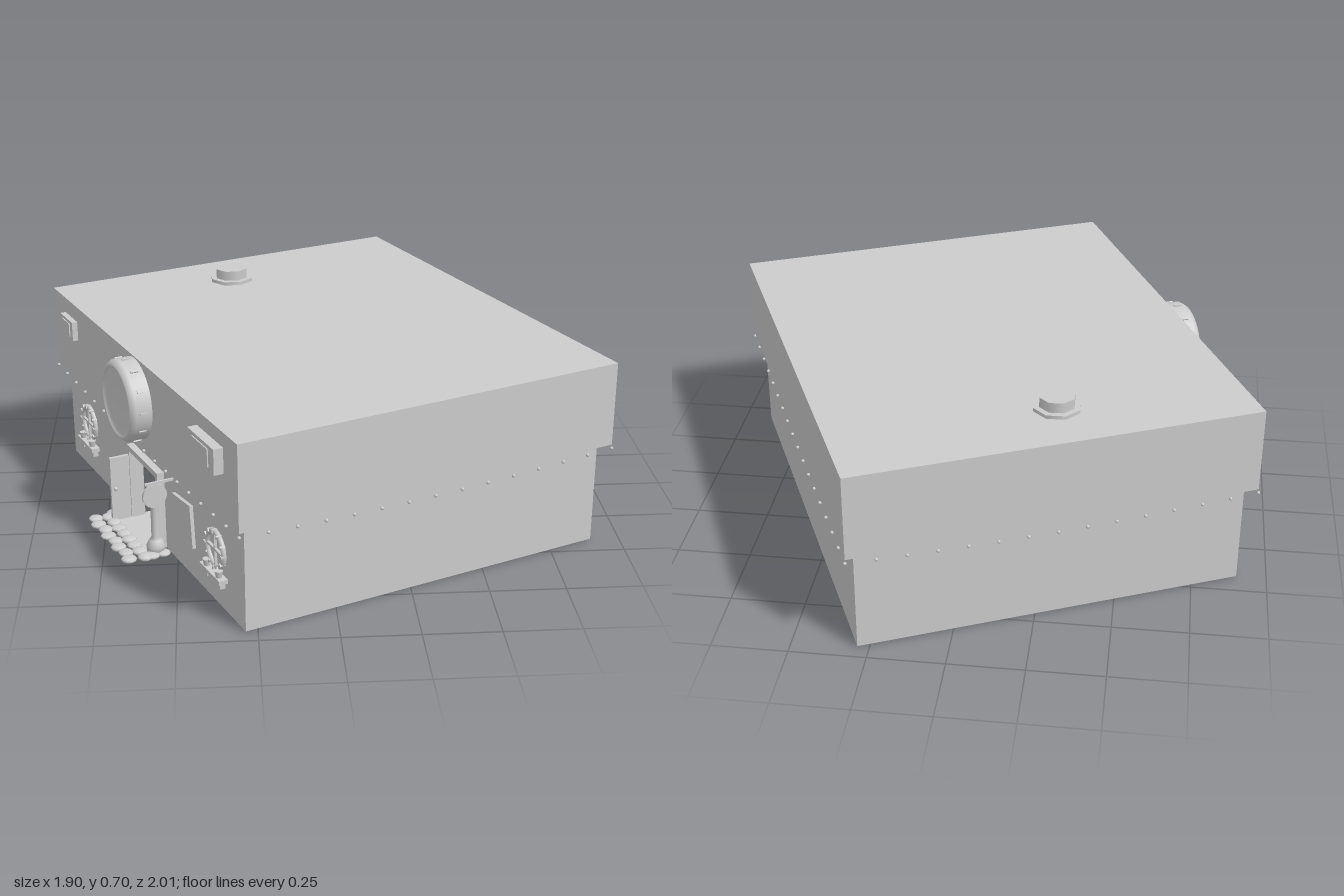
import * as THREE from 'three';

export function createModel() {
  const model = new THREE.Group();
  const shop = new THREE.Group();
  shop.name = 'building';
  shop.rotation.y = -1.152; // shopfront is local +z
  model.add(shop);

  const grey = new THREE.MeshStandardMaterial({ color: 0xcccccc, side: THREE.DoubleSide });
  grey.name = 'plain grey';

  const add = (name, geo, x = 0, y = 0, z = 0, parent = shop) => {
    const m = new THREE.Mesh(geo, grey);
    m.name = name;
    m.position.set(x, y, z);
    parent.add(m);
    return m;
  };
  const box = (name, w, h, d, x, y, z, parent) =>
    add(name, new THREE.BoxGeometry(w, h, d), x, y, z, parent);
  const rect = (C, x0, y0, x1, y1) => {
    const s = new C();
    s.moveTo(x0, y0).lineTo(x1, y0).lineTo(x1, y1).lineTo(x0, y1).closePath();
    return s;
  };

  const UW = 0.789, UD = 0.683, LW = 0.753, LD = 0.65, MID = 0.36, TOP = 0.65;

  // Hollow storeys: thin walls, with a doorway in the lower front
  const walls = (name, w, d, y0, y1, doorway) => {
    const front = doorway
      ? new THREE.Shape([[-w, y0], [-0.12, y0], [-0.12, 0.26], [0.12, 0.26], [0.12, y0], [w, y0], [w, y1], [-w, y1]]
        .map(p => new THREE.Vector2(...p)))
      : rect(THREE.Shape, -w, y0, w, y1);
    add(name + 'FrontWall', new THREE.ShapeGeometry(front), 0, 0, d);
    add(name + 'BackWall', new THREE.PlaneGeometry(2 * w, y1 - y0), 0, (y0 + y1) / 2, -d).rotation.y = Math.PI;
    for (const s of [-1, 1])
      add(name + 'SideWall', new THREE.PlaneGeometry(2 * d, y1 - y0), s * w, (y0 + y1) / 2, 0).rotation.y = s * Math.PI / 2;
  };
  walls('lower', LW, LD, 0, MID, true);
  walls('upper', UW, UD, MID, TOP, false);
  add('roof', new THREE.PlaneGeometry(2 * UW, 2 * UD), 0, TOP, 0).rotation.x = -Math.PI / 2;
  const ledge = rect(THREE.Shape, -UW, -UD, UW, UD);
  ledge.holes.push(rect(THREE.Path, -LW, -LD, LW, LD));
  add('overhangSoffit', new THREE.ShapeGeometry(ledge), 0, MID, 0).rotation.x = Math.PI / 2;

  // Sagging string of small bulbs under the overhang
  const bulb = new THREE.SphereGeometry(0.006, 8, 6);
  const string = (n, at) => {
    for (let i = 0; i <= n; i++) {
      const t = i / n, [x, z] = at(t * 2 - 1);
      add('bulb', bulb, x, 0.347 - 0.018 * Math.sin(t * Math.PI), z);
    }
  };
  for (const s of [-1, 1]) {
    string(17, t => [t * UW, s * UD]);
    string(14, t => [s * UW, t * UD]);
  }

  // Octagonal roof vent
  add('ventFlange', new THREE.CylinderGeometry(0.08, 0.08, 0.012, 8).toNonIndexed(), -0.575, 0.656, 0.062);
  add('ventCap', new THREE.CylinderGeometry(0.06, 0.06, 0.035, 8).toNonIndexed(), -0.575, 0.679, 0.062);

  // Round drum sign above the door, with a raised rim and studs
  const drum = new THREE.Group();
  drum.name = 'drumSign';
  drum.position.set(0, 0.505, UD);
  shop.add(drum);
  const profile = [[0.14, 0], [0.14, 0.055], [0.128, 0.072], [0.116, 0.072], [0.113, 0.062], [0, 0.062]]
    .map(p => new THREE.Vector2(...p));
  const rim = new THREE.LatheGeometry(profile, 40);
  rim.rotateX(Math.PI / 2);
  add('drumBody', rim, 0, 0, 0, drum);
  for (let i = 0; i < 12; i++) {
    const a = i * Math.PI / 6;
    box('drumStud', 0.006, 0.008, 0.026, 0.141 * Math.cos(a), 0.141 * Math.sin(a), 0.03, drum).rotation.z = a;
  }

  // Wall boxes on the upper storey
  const unit = (x, w, h, d) => {
    box('wallBox', w, h, d, x, 0.558, UD + d / 2);
    box('wallBoxPanel', w * 0.6, h * 0.7, 0.006, x, 0.558, UD + d + 0.001);
  };
  unit(-0.61, 0.12, 0.07, 0.02);
  unit(0.595, 0.19, 0.085, 0.032);

  // Porthole windows with glazing bars and planter shelves
  for (const x of [-0.555, 0.555]) {
    const w = new THREE.Group();
    w.name = 'portholeWindow';
    w.position.set(x, 0.195, LD);
    shop.add(w);
    add('windowRing', new THREE.TorusGeometry(0.06, 0.009, 8, 28), 0, 0, 0.006, w);
    add('windowPane', new THREE.CircleGeometry(0.058, 28), 0, 0, 0.003, w);
    for (const a of [0, Math.PI / 2])
      box('glazingBar', 0.116, 0.007, 0.01, 0, 0, 0.007, w).rotation.z = a;
    for (let i = 0; i < 12; i++) {
      const a = i * Math.PI / 6;
      box('ringStud', 0.012, 0.006, 0.026, 0.063 * Math.cos(a), 0.063 * Math.sin(a), 0.006, w).rotation.z = a;
    }
    box('planterShelf', 0.15, 0.014, 0.03, 0, -0.082, 0.016, w);
    for (const s of [-1, 1]) {
      box('shelfBracket', 0.012, 0.03, 0.018, s * 0.05, -0.1, 0.01, w);
      add('planterPot', new THREE.CylinderGeometry(0.014, 0.01, 0.022, 10), s * 0.045, -0.064, 0.018, w);
    }
  }

  // Door frame, open door and threshold
  for (const s of [-1, 1]) box('doorJamb', 0.02, 0.26, 0.05, s * 0.125, 0.13, LD);
  box('doorLintel', 0.27, 0.02, 0.05, 0, 0.27, LD);
  box('openDoor', 0.012, 0.24, 0.095, -0.125, 0.125, LD + 0.047);
  add('doorKnob', new THREE.SphereGeometry(0.007, 10, 8), -0.114, 0.13, LD + 0.08);
  box('threshold', 0.26, 0.008, 0.21, 0, 0.004, LD);

  // Lamp post beside the door
  const post = [[0, 0], [0.03, 0], [0.032, 0.03], [0.022, 0.05], [0.014, 0.06], [0.013, 0.18], [0.022, 0.19], [0.018, 0.22], [0, 0.225]]
    .map(p => new THREE.Vector2(...p));
  add('doorPost', new THREE.LatheGeometry(post, 14), 0.15, 0, 0.695);

  // Hanging round sign and its bracket
  box('signBracket', 0.008, 0.008, 0.1, 0.225, 0.295, 0.705);
  const disc = add('hangingSign', new THREE.CylinderGeometry(0.042, 0.042, 0.01, 20), 0.225, 0.25, 0.722);
  disc.rotation.z = Math.PI / 2;

  // Notice board, slightly askew, with a heart-like emblem
  const board = new THREE.Group();
  board.name = 'noticeBoard';
  board.position.set(0.31, 0.183, LD + 0.008);
  board.rotation.z = 0.1;
  shop.add(board);
  box('boardPanel', 0.145, 0.148, 0.012, 0, 0, 0, board);
  const heart = new THREE.Shape();
  heart.moveTo(0, -0.03).lineTo(0.028, 0.005).quadraticCurveTo(0.022, 0.03, 0, 0.014)
    .quadraticCurveTo(-0.022, 0.03, -0.028, 0.005).closePath();
  add('boardEmblem', new THREE.ShapeGeometry(heart), 0, 0.01, 0.009, board);

  // Cobbles edging the doorstep
  const cobble = new THREE.SphereGeometry(0.028, 10, 6);
  const stone = (x, z, k) => add('cobble', cobble, x, 0.007, z).scale.set(1, 0.3 + 0.05 * (k % 3), 0.9 + 0.08 * (k % 2));
  for (let i = 0; i < 8; i++) {
    const x = -0.165 + i * 0.047;
    stone(x, 0.79 + 0.008 * (i % 2), i);
    stone(x + 0.01, 0.745, i + 1);
  }
  for (const s of [-1, 1]) for (let i = 0; i < 2; i++) stone(s * 0.175, 0.68 + i * 0.04, i);

  return model;
}
